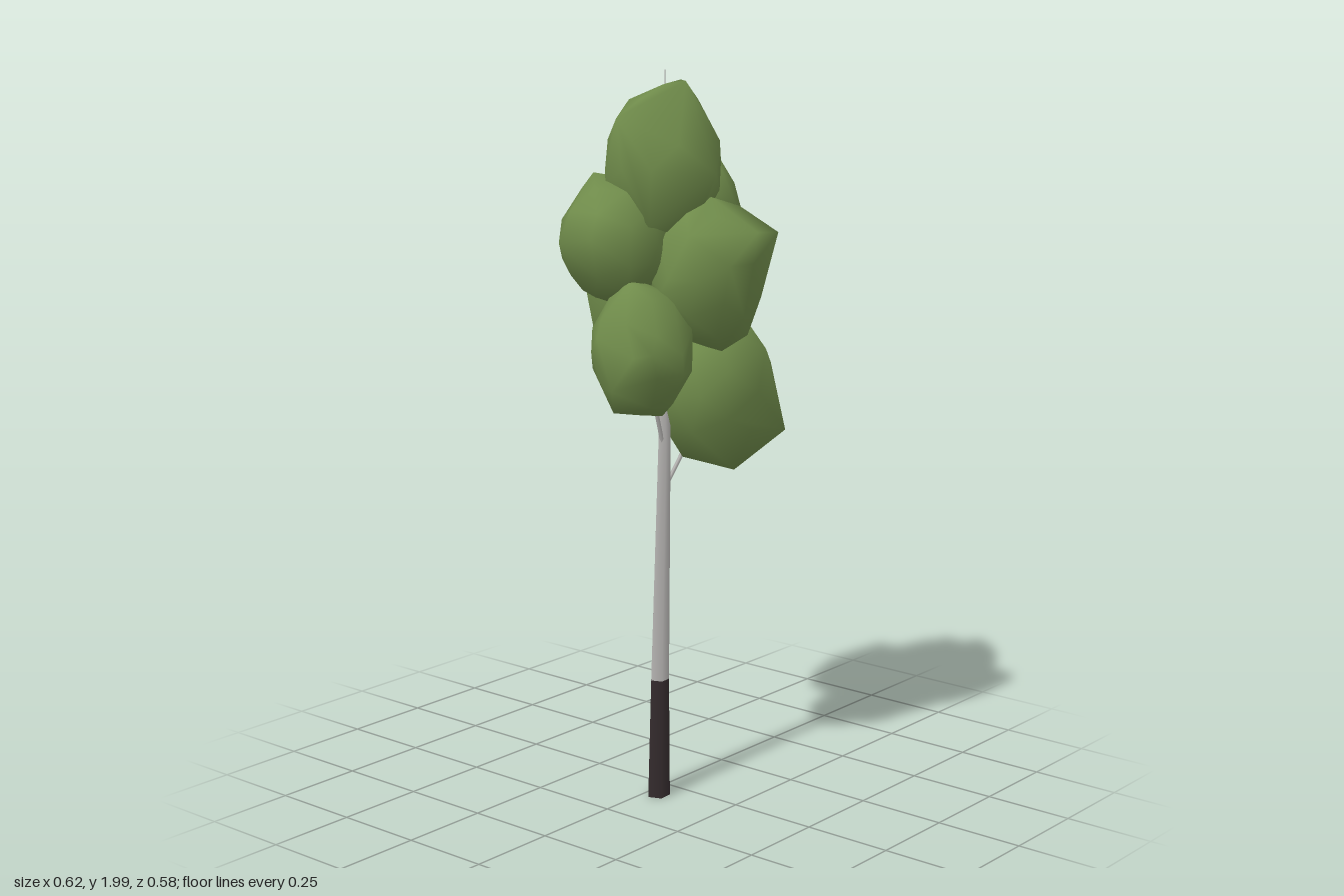
import * as THREE from 'three';
import { mergeVertices } from 'three/addons/utils/BufferGeometryUtils.js';
import { ConvexGeometry } from 'three/addons/geometries/ConvexGeometry.js';

const leafGreen = new THREE.MeshStandardMaterial({ name: 'leafGreen', color: 0x708c4b });
const paleBark = new THREE.MeshStandardMaterial({ name: 'paleBark', color: 0xb8b6b4 });
const darkBark = new THREE.MeshStandardMaterial({ name: 'darkBark', color: 0x352c2e });

// Smooth clump: the hull of an ellipsoid filling the box lo..hi and a few jutting corners
function leafClump(lo, hi, corners) {
  const low = new THREE.Vector3(...lo);
  const high = new THREE.Vector3(...hi);
  const mid = low.clone().add(high).multiplyScalar(0.5);
  const half = high.sub(low).multiplyScalar(0.5 * 0.99);
  const ball = new THREE.IcosahedronGeometry(1, 1).attributes.position;
  const points = corners.map((c) => new THREE.Vector3(...c));
  for (let i = 0; i < ball.count; i++) {
    points.push(new THREE.Vector3().fromBufferAttribute(ball, i).multiply(half).add(mid));
  }
  let geo = new ConvexGeometry(points);
  geo.deleteAttribute('normal');
  geo = mergeVertices(geo, 1e-4);
  geo.computeVertexNormals();
  return new THREE.Mesh(geo, leafGreen);
}

// Five-sided, smoothly shaded length of wood between level rings [x, y, z, radius]
const SIDES = 5;
const TURN = 50;
function woodFaces(rings, sides, material) {
  const points = [];
  const normals = [];
  const put = ([x, y, z, r], k) => {
    const a = THREE.MathUtils.degToRad(TURN - (k * 360) / SIDES);
    points.push(x + r * Math.cos(a), y, z + r * Math.sin(a));
    normals.push(Math.cos(a), 0, Math.sin(a));
  };
  for (let i = 0; i < rings.length - 1; i++) {
    const [low, high] = [rings[i], rings[i + 1]];
    for (const k of sides) {
      put(low, k); put(low, k + 1); put(high, k + 1);
      put(low, k); put(high, k + 1); put(high, k);
    }
  }
  const geo = new THREE.BufferGeometry();
  geo.setAttribute('position', new THREE.Float32BufferAttribute(points, 3));
  geo.setAttribute('normal', new THREE.Float32BufferAttribute(normals, 3));
  return new THREE.Mesh(geo, material);
}

// Each clump: lower and upper box corners, then its jutting corners
const CLUMPS = {
  topClump: [[-0.195, 1.53, -0.14], [0.145, 1.955, 0.165], [
    [-0.035, 1.73, 0.2], [-0.2, 1.875, 0], [-0.2, 1.7, -0.04], [-0.04, 1.966, 0.1],
    [0.06, 1.96, 0], [0.145, 1.83, -0.03], [0.01, 1.83, -0.14], [-0.175, 1.6, 0.09]]],
  upperLeftClump: [[-0.03, 1.45, -0.19], [0.22, 1.81, 0.14], [
    [0.04, 1.6, -0.2], [0.11, 1.835, -0.11], [0.228, 1.605, -0.07], [0.165, 1.6, 0.13],
    [0.1, 1.64, 0.155], [0.185, 1.745, -0.11], [-0.035, 1.65, -0.17], [0.19, 1.6, -0.107]]],
  upperRightClump: [[-0.305, 1.38, -0.2], [0.01, 1.72, 0.1], [
    [-0.314, 1.555, -0.1], [-0.313, 1.57, 0.01], [-0.133, 1.52, -0.207], [-0.03, 1.6, -0.19],
    [-0.175, 1.5, 0.1], [-0.2, 1.73, -0.08], [-0.265, 1.46, -0.05], [-0.13, 1.38, -0.1]]],
  backClump: [[-0.09, 1.08, -0.28], [0.25, 1.61, 0.075], [
    [0.07, 1.38, -0.288], [0.185, 1.5, -0.262], [0.255, 1.4, -0.15], [-0.105, 1.5, -0.22],
    [0.09, 1.07, -0.09], [0.1, 1.11, -0.215], [0.22, 1.4, 0.05], [0.02, 1.6, -0.18],
    [0.248, 1.5, -0.1], [0.245, 1.34, -0.12], [-0.075, 1.23, -0.18]]],
  frontClump: [[-0.145, 1.26, -0.03], [0.175, 1.66, 0.28], [
    [0.13, 1.57, 0.277], [-0.07, 1.5, 0.275], [0, 1.665, 0.155], [0.015, 1.256, 0.18],
    [0.175, 1.39, 0.1], [-0.145, 1.42, 0.1], [0.1, 1.29, 0.2], [-0.135, 1.58, 0.19],
    [0.01, 1.5, 0.289], [0.03, 1.58, 0.287], [0.125, 1.63, 0.15]]],
  lowerRightClump: [[-0.3, 1.09, -0.09], [-0.015, 1.45, 0.19], [
    [-0.303, 1.315, 0.02], [-0.303, 1.18, 0.07], [-0.25, 1.28, 0.164], [-0.158, 1.22, 0.193],
    [-0.22, 1.455, 0.06], [-0.087, 1.08, 0.06], [-0.25, 1.11, 0.03]]],
  lowerLeftClump: [[-0.065, 0.925, -0.09], [0.305, 1.345, 0.225], [
    [0.28, 1.01, -0.06], [0.245, 1.01, 0.22], [0.308, 1.26, 0.02], [0.3, 1.15, 0.12],
    [0.09, 0.917, 0.165], [0.145, 1.25, 0.228], [0.2, 0.94, 0], [0.01, 0.95, 0.05]]],
};

export function createModel() {
  const tree = new THREE.Group();
  tree.name = 'tree';
  const add = (mesh, name) => {
    mesh.name = name;
    tree.add(mesh);
  };

  // Leaning trunk: dark foot with one pale face, pale above
  const foot = [-0.078, 0, 0.036, 0.033];
  const knee = [-0.07, 0.335, 0.034, 0.027];
  add(woodFaces([foot, knee], [1, 2, 3, 4], darkBark), 'trunkFootDark');
  add(woodFaces([foot, knee], [0], paleBark), 'trunkFootPale');
  add(woodFaces([knee, [-0.045, 1.0, 0.03, 0.018], [-0.03, 1.5, 0.02, 0.01],
    [-0.013, 1.99, 0.007, 0.001]], [0, 1, 2, 3, 4], paleBark), 'trunk');
  const base = new THREE.Mesh(
    new THREE.CircleGeometry(0.033, SIDES, THREE.MathUtils.degToRad(TURN)), darkBark);
  base.rotation.x = Math.PI / 2;
  base.position.set(-0.078, 0, 0.036);
  add(base, 'trunkBase');

  // Thin branches reaching into the clumps
  const branches = [
    [[-0.048, 0.86, 0.03], [0.08, 1.06, 0.06]],
    [[-0.046, 0.98, 0.03], [-0.13, 1.2, 0.05]],
    [[-0.04, 1.1, 0.03], [0.06, 1.3, -0.08]],
  ];
  for (const [from, to] of branches) {
    const path = new THREE.LineCurve3(new THREE.Vector3(...from), new THREE.Vector3(...to));
    add(new THREE.Mesh(new THREE.TubeGeometry(path, 1, 0.006, 5), paleBark), 'branch');
  }

  // Leaf clumps
  for (const [name, [lo, hi, corners]] of Object.entries(CLUMPS)) {
    add(leafClump(lo, hi, corners), name);
  }
  return tree;
}
